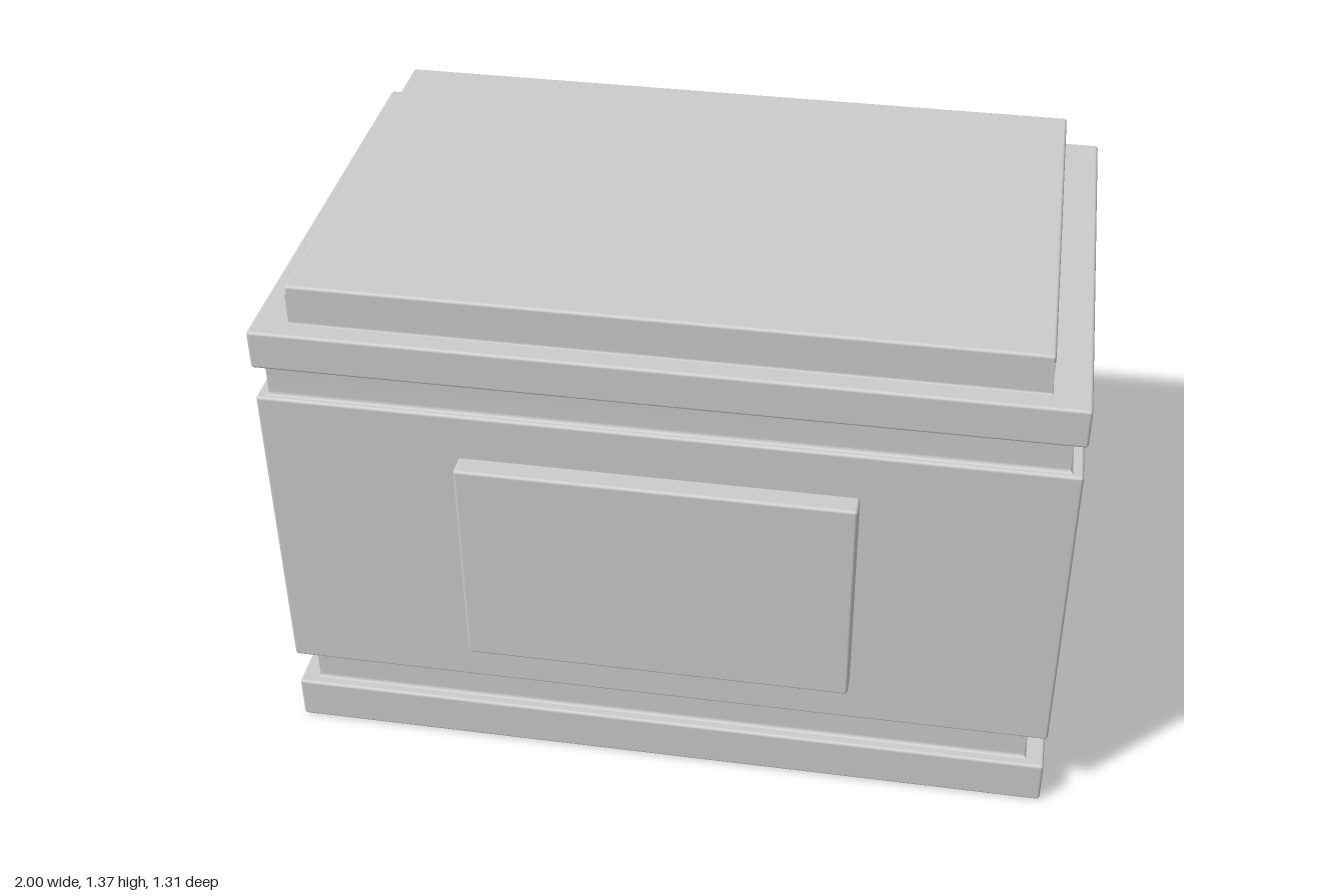
import * as THREE from 'three';
import { RoundedBoxGeometry } from 'three/addons/geometries/RoundedBoxGeometry.js';

const material = new THREE.MeshStandardMaterial({ color: 0xcccccc });

function addPart(group, name, geometry, [x0, x1], [y0, y1], [z0, z1]) {
  const mesh = new THREE.Mesh(geometry, material);
  mesh.name = name;
  mesh.position.set((x0 + x1) / 2, (y0 + y1) / 2, (z0 + z1) / 2);
  group.add(mesh);
}

// Block with softly rounded edges
function addSlab(group, name, x, y, z, radius = 0.008) {
  const geometry = new RoundedBoxGeometry(x[1] - x[0], y[1] - y[0], z[1] - z[0], 3, radius);
  addPart(group, name, geometry, x, y, z);
}

// Straight-sided block whose walls curve outwards where they meet the blocks
// below and (optionally) above
function addNeck(group, name, x, y, z, filletTop, r = 0.013) {
  const w = x[1] - x[0], h = y[1] - y[0], d = z[1] - z[0], steps = 4;
  const rows = 2 * steps + 1;
  const geometry = new THREE.BoxGeometry(w, h, d, 1, rows, 1);
  const p = geometry.attributes.position;
  for (let i = 0; i < p.count; i++) {
    const row = Math.round((p.getY(i) / h + 0.5) * rows);
    const k = Math.min(row, rows - row);
    const angle = (k / steps) * Math.PI / 2;
    const isTop = row > rows / 2;
    const out = isTop && !filletTop ? 0 : r * (1 - Math.sin(angle));
    const inset = r * (1 - Math.cos(angle));
    p.setXYZ(i,
      p.getX(i) + Math.sign(p.getX(i)) * out,
      isTop ? h / 2 - inset : -h / 2 + inset,
      p.getZ(i) + Math.sign(p.getZ(i)) * out);
  }
  geometry.computeVertexNormals();
  addPart(group, name, geometry, x, y, z);
}

export function createModel() {
  const group = new THREE.Group();
  group.name = 'chest';
  const wide = [-1, 1], deep = [-0.655, 0.6];

  // Main stack, from the floor up
  addSlab(group, 'base', wide, [0, 0.122], deep);
  addNeck(group, 'lowerGroove', [-0.95, 0.948], [0.12, 0.222], [-0.625, 0.57], true);
  addSlab(group, 'body', wide, [0.22, 1.07], deep);
  addNeck(group, 'upperGroove', [-0.97, 0.968], [1.068, 1.158], [-0.635, 0.582], true);
  addSlab(group, 'rim', wide, [1.156, 1.26], deep);

  // Lid block with a small cove at its foot
  addNeck(group, 'lidFoot', [-0.91, 0.906], [1.258, 1.345], [-0.6, 0.545], false, 0.008);
  addSlab(group, 'lid', [-0.91, 0.906], [1.3, 1.365], [-0.6, 0.545]);

  // Raised panel on the front
  addSlab(group, 'frontPanel', [-0.5, 0.486], [0.352, 0.945], [0.56, 0.655]);

  return group;
}
